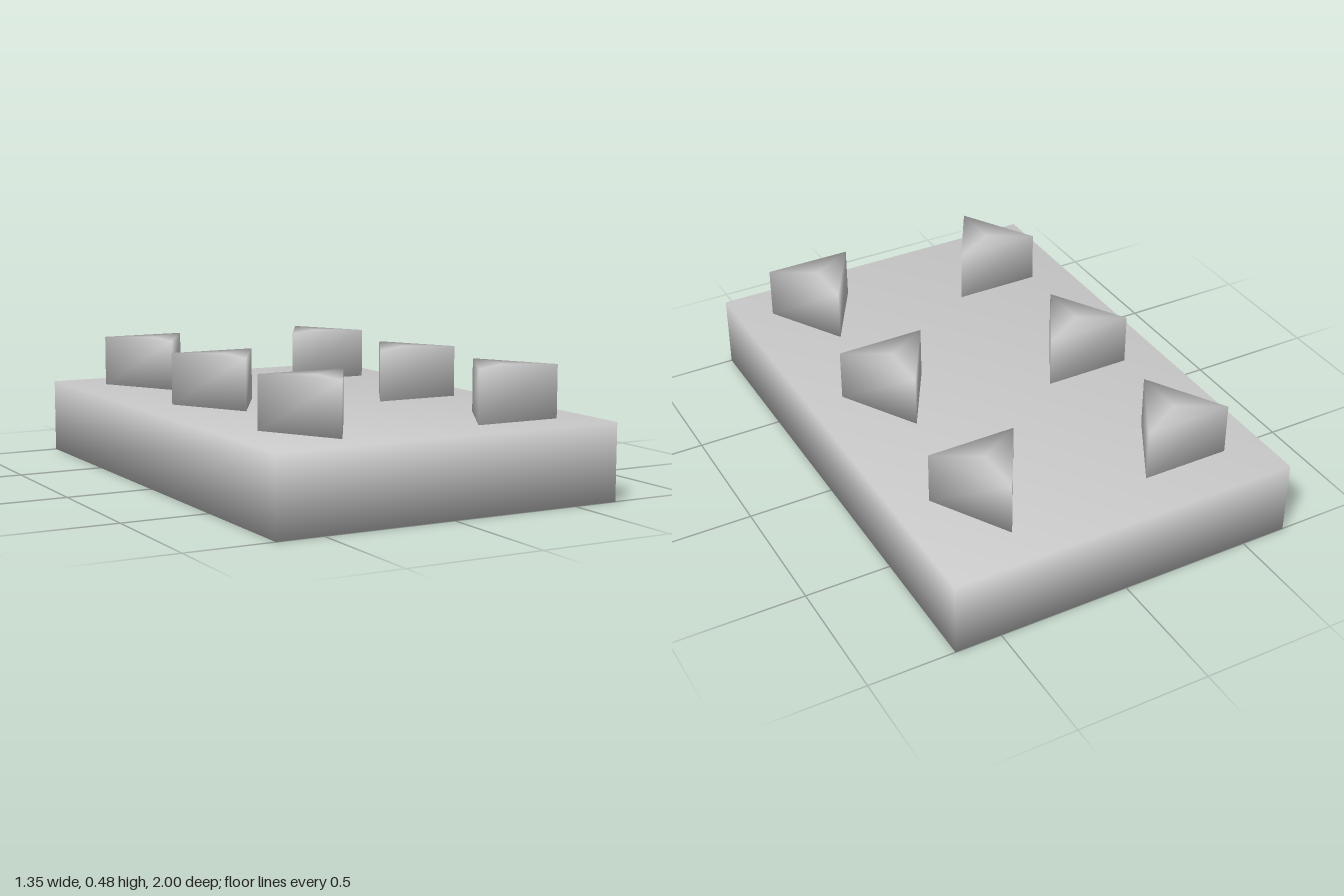
import * as THREE from 'three';
import { mergeVertices } from 'three/addons/utils/BufferGeometryUtils.js';

const BASE_TOP = 0.285, PEG_TOP = 0.48, PEG_RADIUS = 0.193;

// Weld shared corners so the normals run smoothly over the edges
function weld(geometry) {
  geometry.deleteAttribute('normal');
  geometry.deleteAttribute('uv');
  const welded = mergeVertices(geometry, 1e-4);
  welded.computeVertexNormals();
  return welded;
}

export function createModel() {
  const model = new THREE.Group();
  model.name = 'pegBoard';
  const material = new THREE.MeshStandardMaterial({ color: 0xcccccc });

  // Flat slab
  const base = new THREE.Mesh(weld(new THREE.BoxGeometry(1.35, BASE_TOP, 2)), material);
  base.name = 'basePlate';
  base.position.y = BASE_TOP / 2;
  model.add(base);

  // Two columns of triangular pegs, pointing in opposite directions
  const height = PEG_TOP - BASE_TOP;
  const pegGeometry = weld(new THREE.CylinderGeometry(PEG_RADIUS, PEG_RADIUS, height, 3));
  const columns = [
    { name: 'rightPeg', x: -0.355, turn: 0, rows: [-0.715, -0.047, 0.668] },
    { name: 'leftPeg', x: 0.373, turn: Math.PI, rows: [-0.652, 0.063, 0.731] },
  ];
  for (const { name, x, turn, rows } of columns) {
    rows.forEach((z, i) => {
      const peg = new THREE.Mesh(pegGeometry, material);
      peg.name = `${name}${i + 1}`;
      peg.position.set(x, BASE_TOP + height / 2, z);
      peg.rotation.y = turn;
      model.add(peg);
    });
  }
  return model;
}
